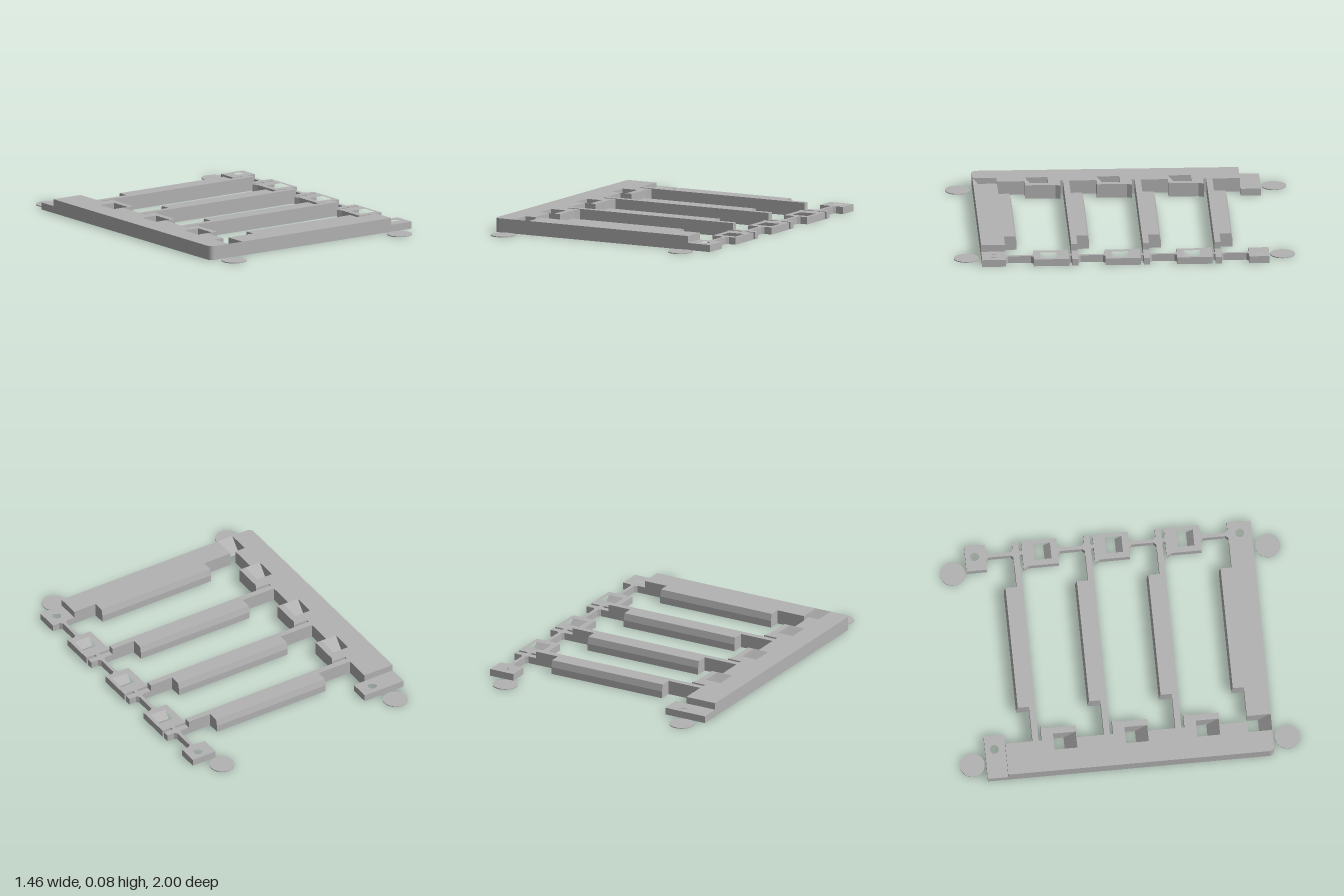
import * as THREE from 'three';

const FULL = 0.083, HALF = 0.042;
const CLIPS = [-0.51, -0.09, 0.33]; // back edge of each clip row
const CLIP_LEN = 0.207;

const grey = new THREE.MeshStandardMaterial({ color: 0xb3b3b3 });
grey.name = 'plain grey';

export function createModel() {
  const model = new THREE.Group();
  model.name = 'clipFrame';

  const add = (name, geometry) => {
    const mesh = new THREE.Mesh(geometry, grey);
    mesh.name = name;
    model.add(mesh);
    return mesh;
  };

  const toPath = (pts) => pts.map(([x, z]) => new THREE.Vector2(x, -z));
  const rect = (x0, x1, z0, z1) => [[x0, z0], [x1, z0], [x1, z1], [x0, z1]];

  // Flat plate from an x,z outline, with optional holes
  const slab = (name, pts, y0, y1, holes = []) => {
    const shape = new THREE.Shape(toPath(pts));
    holes.forEach((h) => shape.holes.push(new THREE.Path(toPath(h))));
    const g = new THREE.ExtrudeGeometry(shape, { depth: y1 - y0, bevelEnabled: false });
    g.rotateX(-Math.PI / 2).translate(0, y0, 0);
    return add(name, g);
  };

  // Prism along x from a z,y profile
  const prism = (name, profile, x0, x1) => {
    const shape = new THREE.Shape(profile.map(([z, y]) => new THREE.Vector2(z, y)));
    const g = new THREE.ExtrudeGeometry(shape, { depth: x1 - x0, bevelEnabled: false });
    g.rotateY(-Math.PI / 2).translate(x1, 0, 0);
    return add(name, g);
  };

  const circle = (x, z, r, n = 28) => Array.from({ length: n }, (_, i) => {
    const a = (i / n) * Math.PI * 2;
    return [x + r * Math.cos(a), z + r * Math.sin(a)];
  });

  // Screw tab, with a wider recess underneath
  const tab = (name, outline, x, z) => {
    slab(name, outline, 0, 0.022, [circle(x, z, 0.045)]);
    slab(name, outline, 0.022, HALF, [circle(x, z, 0.026)]);
  };

  // Long side rail with its clips as one outline, front corner rounded
  const rail = [[-0.535, -0.725], [-0.73, -0.725]];
  for (let i = 0; i <= 6; i++) {
    const a = (i / 6) * Math.PI / 2;
    rail.push([-0.70 - 0.03 * Math.cos(a), 0.81 + 0.03 * Math.sin(a)]);
  }
  rail.push([-0.6, 0.84], [-0.6, 0.70], [-0.535, 0.70]);
  [...CLIPS].reverse().forEach((z) => {
    const end = z + CLIP_LEN;
    rail.push([-0.535, end], [-0.462, end], [-0.462, z + 0.03], [-0.447, z], [-0.535, z]);
  });
  slab('sideRail', rail, 0, FULL,
    CLIPS.map((z) => rect(-0.6, -0.5, z + 0.07, z + CLIP_LEN - 0.003)));

  // Sloped floors in the rail slots
  const ramp = (name, x0, x1, z0, z1, h) =>
    prism(name, [[z0, 0], [z1, 0], [z1, h]], x0, x1);
  CLIPS.forEach((z) => ramp('railRamp', -0.6, -0.5, z + 0.132, z + CLIP_LEN - 0.003, FULL));
  ramp('railRamp', -0.6, -0.5, 0.765, 0.84, FULL);

  // Cross bars with a broad, slightly tapered middle
  const bar = (x0, zWide, z0, z1) => {
    slab('crossBar', rect(x0, 0.577, z0, z1), 0, FULL);
    prism('barMiddle', [[zWide, 0], [z0, 0], [z0, FULL], [zWide + 0.01, FULL], [zWide, HALF]], -0.32, 0.43);
  };
  CLIPS.forEach((z) => {
    bar(-0.535, z - 0.13, z - 0.054, z - 0.018);
    slab('barEnd', rect(0.577, 0.725, z - 0.054, z - 0.018), 0, HALF);
  });
  bar(-0.5, 0.625, 0.70, 0.84);

  // Screw tabs
  tab('backRailTab', rect(-0.73, -0.462, -0.845, -0.725), -0.55, -0.79);
  tab('backTab', rect(0.568, 0.725, -0.845, -0.725), 0.655, -0.79);
  tab('frontTab', rect(0.577, 0.725, 0.70, 0.84), 0.655, 0.77);

  // Low clips on the open side
  CLIPS.forEach((z) => {
    const end = z + CLIP_LEN;
    slab('lowClip',
      [[0.553, z], [0.725, z], [0.725, end], [0.568, end], [0.568, z + 0.03]], 0, HALF,
      [rect(0.603, 0.703, z + 0.07, z + 0.168)]);
    ramp('lowClipRamp', 0.603, 0.703, z + 0.128, z + 0.168, HALF);
  });

  // Thin links between the low parts, flared at both ends
  const link = (z0, z1, f) => slab('link', [
    [0.643 - f, z0], [0.643, z0 + f], [0.643, z1 - f], [0.643 - f, z1],
    [0.664 + f, z1], [0.664, z1 - f], [0.664, z0 + f], [0.664 + f, z0]], 0, HALF);
  [-0.725, ...CLIPS.map((z) => z + CLIP_LEN)].forEach((z, i) => {
    link(z, i < 3 ? CLIPS[i] - 0.054 : 0.70, 0.014);
  });
  CLIPS.forEach((z) => link(z - 0.018, z, 0.004));

  // Thin discs at the corners
  for (const x of [-0.622, 0.575]) {
    for (const s of [-1, 1]) {
      const disc = add('cornerDisc', new THREE.CylinderGeometry(0.073, 0.073, 0.005, 40));
      disc.position.set(x, 0.0025, s * 0.927);
    }
  }
  return model;
}
